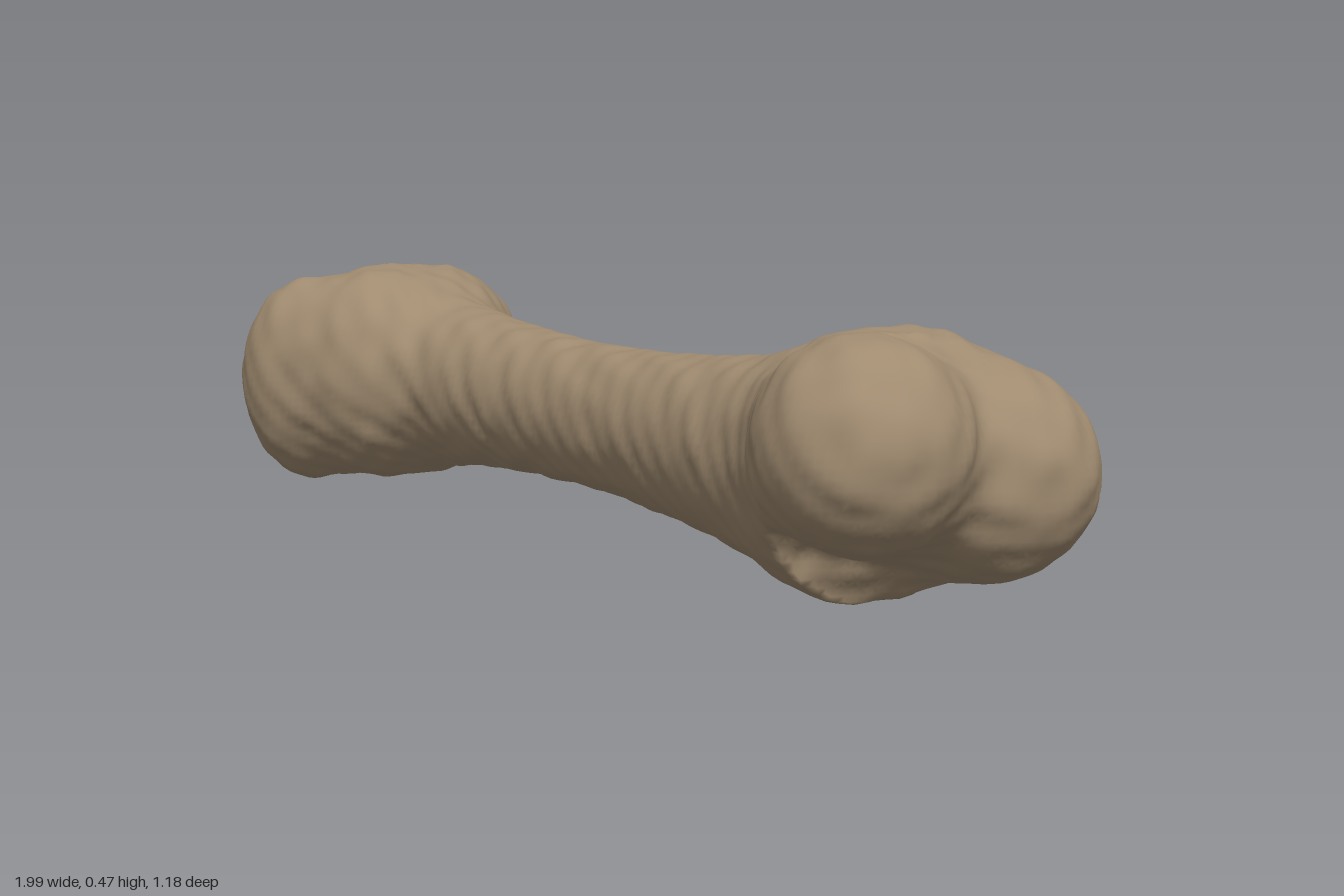
import * as THREE from 'three';

const AXIS = Math.atan2(0.42, 0.95); // heading of the shaft seen from above

// Rounded lumps of the two ends: centre, radii
const LUMPS = [
  // left end: tall back condyle, tall outer condyle, their flares and the bridge
  [-0.725, 0.24, -0.425, 0.15, 0.215, 0.165],
  [-0.65, 0.25, -0.38, 0.155, 0.2, 0.185],
  [-0.835, 0.23, -0.165, 0.155, 0.215, 0.14],
  [-0.69, 0.25, -0.19, 0.17, 0.21, 0.16],
  [-0.745, 0.325, -0.29, 0.12, 0.14, 0.13],
  // right end: round front head, outer condyle, its flares and the bridge
  [0.725, 0.312, 0.42, 0.165, 0.168, 0.17],
  [0.805, 0.245, 0.17, 0.19, 0.178, 0.165],
  [0.7, 0.265, 0.165, 0.15, 0.195, 0.165],
  [0.63, 0.24, 0.21, 0.13, 0.195, 0.16],
  [0.735, 0.285, 0.3, 0.13, 0.145, 0.13],
];
// Groove opening downwards between the left condyles
const GROOVE = [-0.91, 0.05, -0.315, 0.11, 0.18, 0.045];

function ellipsoid([cx, cy, cz, a, b, c], x, y, z) {
  x -= cx; y -= cy; z -= cz;
  const k0 = Math.hypot(x / a, y / b, z / c);
  const k1 = Math.hypot(x / (a * a), y / (b * b), z / (c * c));
  return k1 < 1e-6 ? -Math.min(a, b, c) : k0 * (k0 - 1) / k1;
}

function blend(a, b, k) {
  const h = Math.max(k - Math.abs(a - b), 0) / k;
  return Math.min(a, b) - h * h * k / 4;
}

// Waisted shaft along its heading
function shaft(x, y, z) {
  const u = x * Math.cos(AXIS) + z * Math.sin(AXIS);
  const v = z * Math.cos(AXIS) - x * Math.sin(AXIS);
  const r = 0.123 + 0.12 * Math.min(u * u, 0.42);
  return Math.max(Math.hypot(v, (y - 0.24) / 1.08) - r, Math.abs(u) - 0.7);
}

// Signed field of the whole bone, with a slightly uneven surface
function field(x, y, z) {
  let ends = 9;
  for (const lump of LUMPS) ends = blend(ends, ellipsoid(lump, x, y, z), 0.055);
  let d = blend(ends, shaft(x, y, z), 0.1);
  d = -blend(-d, ellipsoid(GROOVE, x, y, z), 0.04);
  const bumps = Math.sin(41 * x + 2 * Math.sin(23 * z)) * Math.sin(47 * y + 13 * z) * Math.sin(43 * z - 11 * x + 1)
    + 0.6 * Math.sin(71 * x + 33 * y) * Math.sin(67 * z + 39 * y);
  return d + 0.003 * bumps;
}

function gradient(p) {
  const e = 0.003, [x, y, z] = p;
  return [
    field(x + e, y, z) - field(x - e, y, z),
    field(x, y + e, z) - field(x, y - e, z),
    field(x, y, z + e) - field(x, y, z - e),
  ].map((g) => g / (2 * e));
}

// Wraps a quad mesh around the field on a regular grid
function wrapField(min, max, step) {
  const n = min.map((m, i) => Math.ceil((max[i] - m) / step) + 1);
  const stride = [1, n[0], n[0] * n[1]];
  const values = new Float32Array(n[0] * n[1] * n[2]);
  const cellVertex = new Int32Array(values.length).fill(-1);
  const positions = [], normals = [], index = [];
  const at = (i, j, k) => i + j * stride[1] + k * stride[2];
  const each = (end, fn) => {
    for (let k = 0; k < n[2] - end; k++)
      for (let j = 0; j < n[1] - end; j++)
        for (let i = 0; i < n[0] - end; i++) fn(i, j, k);
  };
  each(0, (i, j, k) => {
    values[at(i, j, k)] = field(min[0] + i * step, min[1] + j * step, min[2] + k * step);
  });

  // one vertex in every cell the surface crosses, pulled onto the surface
  each(1, (i, j, k) => {
    let inside = 0;
    const sum = [0, 0, 0];
    let crossings = 0;
    const id = at(i, j, k);
    for (let c = 0; c < 8; c++) {
      const bits = [c & 1, (c >> 1) & 1, (c >> 2) & 1];
      const here = id + bits[0] * stride[0] + bits[1] * stride[1] + bits[2] * stride[2];
      const f0 = values[here];
      if (f0 < 0) inside++;
      for (let a = 0; a < 3; a++) {
        if (bits[a]) continue;
        const f1 = values[here + stride[a]];
        if ((f0 < 0) === (f1 < 0)) continue;
        crossings++;
        for (let b = 0; b < 3; b++) sum[b] += b === a ? f0 / (f0 - f1) : bits[b];
      }
    }
    if (inside === 0 || inside === 8) return;
    let p = [i, j, k].map((g, a) => min[a] + (g + sum[a] / crossings) * step);
    for (let pass = 0; pass < 2; pass++) {
      const g = gradient(p);
      const len2 = Math.max(g[0] ** 2 + g[1] ** 2 + g[2] ** 2, 0.2);
      const move = THREE.MathUtils.clamp(field(...p) / len2, -step / 3, step / 3);
      p = p.map((q, a) => q - g[a] * move);
    }
    const normal = new THREE.Vector3(...gradient(p)).normalize();
    cellVertex[id] = positions.length / 3;
    positions.push(...p);
    normals.push(normal.x, normal.y, normal.z);
  });

  // one quad around every grid edge the surface crosses
  each(1, (i, j, k) => {
    if (!i || !j || !k) return;
    const id = at(i, j, k);
    for (let a = 0; a < 3; a++) {
      const start = values[id] < 0;
      if (start === (values[id + stride[a]] < 0)) continue;
      const b = stride[(a + 1) % 3], c = stride[(a + 2) % 3];
      const q = [id, id - b, id - b - c, id - c].map((cell) => cellVertex[cell]);
      if (!start) q.reverse();
      index.push(q[0], q[1], q[2], q[0], q[2], q[3]);
    }
  });

  const geometry = new THREE.BufferGeometry();
  geometry.setAttribute('position', new THREE.Float32BufferAttribute(positions, 3));
  geometry.setAttribute('normal', new THREE.Float32BufferAttribute(normals, 3));
  geometry.setIndex(index);
  return geometry;
}

export function createModel() {
  const boneMaterial = new THREE.MeshStandardMaterial({ color: 0xa08b70 });
  boneMaterial.name = 'weathered bone';

  const geometry = wrapField([-1.1, -0.1, -0.7], [1.1, 0.6, 0.7], 0.016);

  // stand on the ground, centred
  geometry.computeBoundingBox();
  const box = geometry.boundingBox;
  const centre = box.getCenter(new THREE.Vector3());
  geometry.translate(-centre.x, -box.min.y, -centre.z);

  const bone = new THREE.Mesh(geometry, boneMaterial);
  bone.name = 'bone';
  const group = new THREE.Group();
  group.name = 'bone model';
  group.add(bone);
  return group;
}
